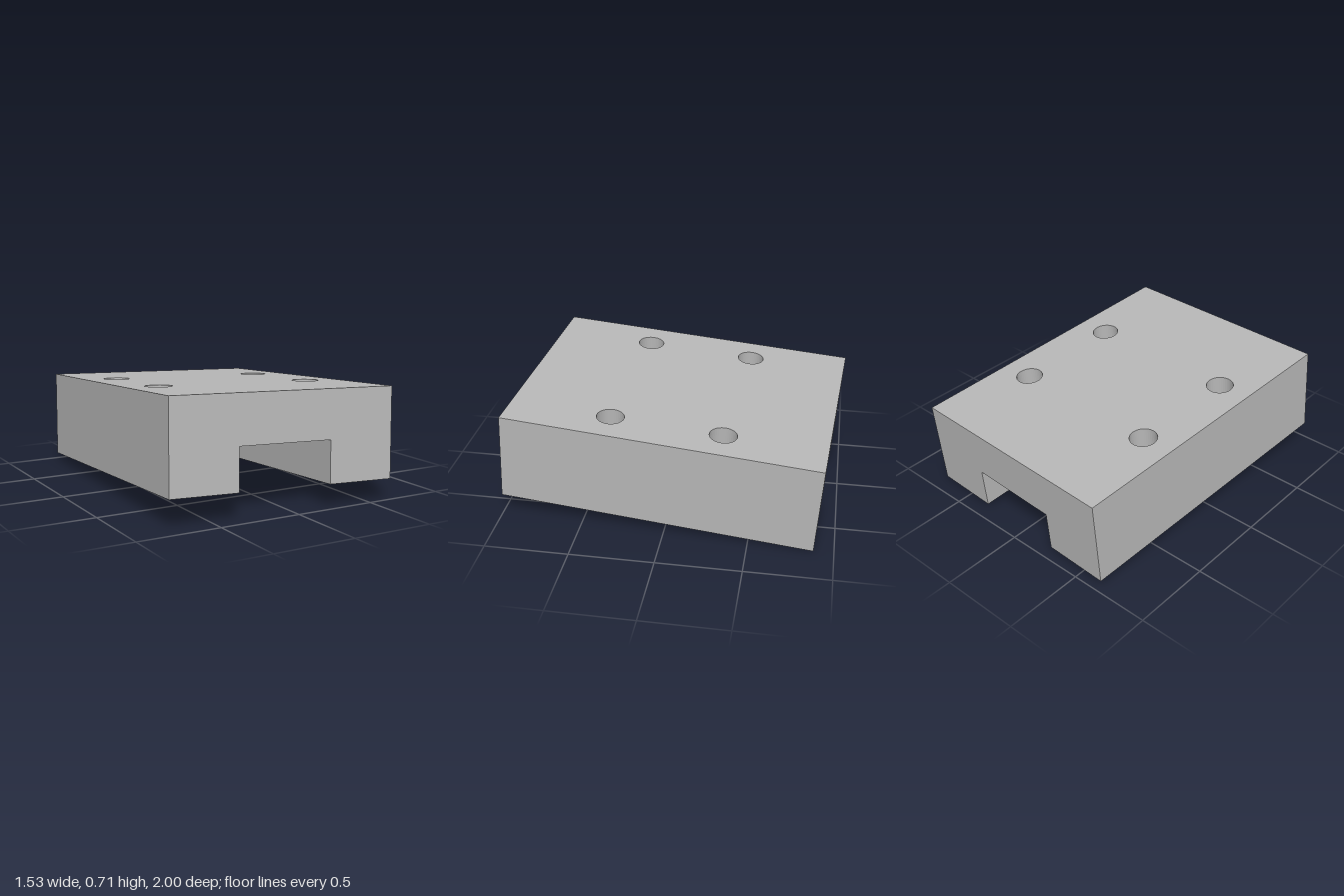
import * as THREE from 'three';

export function createModel() {
  const model = new THREE.Group();
  const grey = new THREE.MeshStandardMaterial({ color: 0xb8b8b8 });
  grey.name = 'plain grey';

  const width = 1.414, height = 0.544, length = 1.888;
  const slotWidth = 0.583, slotHeight = 0.254;
  const holeX = 0.497, holeZ = 0.336, holeRadius = 0.082;

  // The whole block sits at a slight tilt
  const block = new THREE.Group();
  block.name = 'slottedBlock';
  block.rotation.set(-0.0663, -0.0556, -0.0348);
  block.position.y = 0.356;
  model.add(block);

  const add = (name, geometry, x, y) => {
    const mesh = new THREE.Mesh(geometry, grey);
    mesh.name = name;
    mesh.position.set(x, y, 0);
    block.add(mesh);
  };

  // Top plate with four round holes
  const w = width / 2, l = length / 2;
  const outline = new THREE.Shape([
    new THREE.Vector2(-w, -l), new THREE.Vector2(w, -l),
    new THREE.Vector2(w, l), new THREE.Vector2(-w, l),
  ]);
  for (const sx of [-1, 1]) {
    for (const sz of [-1, 1]) {
      outline.holes.push(new THREE.Path().absarc(sx * holeX, sz * holeZ, holeRadius, 0, Math.PI * 2, true));
    }
  }
  const plate = new THREE.ExtrudeGeometry(outline, {
    depth: height - slotHeight, bevelEnabled: false, curveSegments: 20,
  });
  plate.rotateX(-Math.PI / 2);
  add('topPlate', plate, 0, slotHeight - height / 2);

  // Two rails either side of the slot; they close the holes from below
  const railWidth = (width - slotWidth) / 2;
  for (const [name, side] of [['leftRail', 1], ['rightRail', -1]]) {
    add(name, new THREE.BoxGeometry(railWidth, slotHeight, length),
      side * (slotWidth + railWidth) / 2, (slotHeight - height) / 2);
  }

  return model;
}
